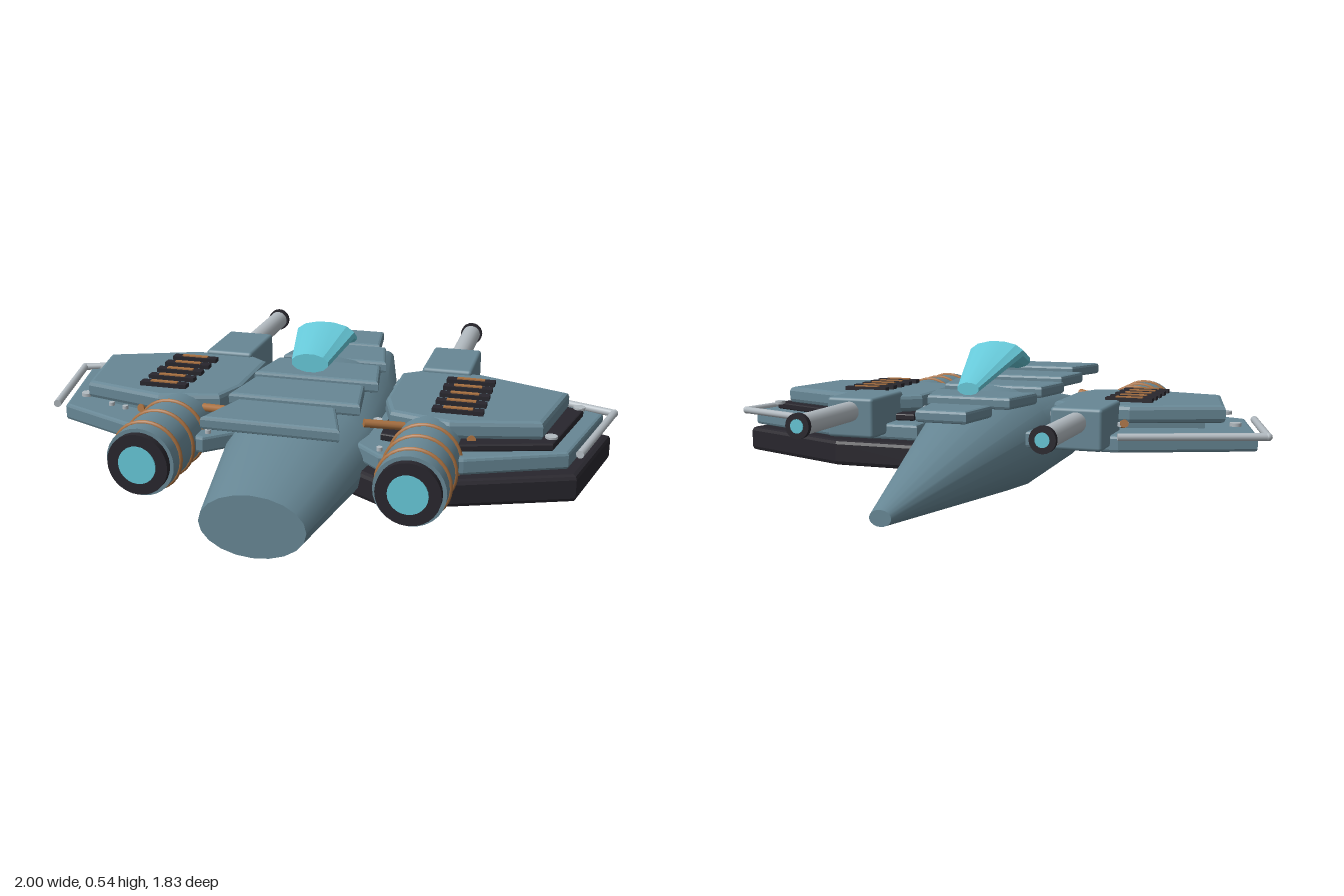
import * as THREE from 'three';
import { toCreasedNormals } from 'three/addons/utils/BufferGeometryUtils.js';
import { RoundedBoxGeometry } from 'three/addons/geometries/RoundedBoxGeometry.js';

const mat = (name, color) => new THREE.MeshStandardMaterial({ name, color });

// Elliptical loft along z; each ring is [z, centreY, radiusX, radiusY]
function loft(rings, n, phase = 0) {
  const pos = [], idx = [];
  for (const [z, cy, rx, ry] of rings)
    for (let j = 0; j < n; j++) {
      const a = phase + (j / n) * Math.PI * 2;
      pos.push(Math.cos(a) * rx, cy + Math.sin(a) * ry, z);
    }
  for (let i = 0; i < rings.length - 1; i++)
    for (let j = 0; j < n; j++) {
      const k = (j + 1) % n, a = i * n + j, b = i * n + k;
      idx.push(a, b, a + n, b, b + n, a + n);
    }
  const last = (rings.length - 1) * n;
  for (let j = 1; j < n - 1; j++) {
    idx.push(0, j + 1, j);
    idx.push(last, last + j, last + j + 1);
  }
  const g = new THREE.BufferGeometry();
  g.setAttribute('position', new THREE.Float32BufferAttribute(pos, 3));
  g.setIndex(idx);
  return g;
}

// Horizontal bevelled plate from an [x, z] outline between heights y0 and y1
function slab(outline, y0, y1, bevel = 0.01) {
  const shape = new THREE.Shape(outline.map(([x, z]) => new THREE.Vector2(x, -z)));
  const g = new THREE.ExtrudeGeometry(shape, {
    depth: y1 - y0 - 2 * bevel, bevelEnabled: true, bevelThickness: bevel,
    bevelSize: bevel, bevelOffset: -bevel, bevelSegments: 2,
  });
  g.rotateX(-Math.PI / 2);
  g.translate(0, y0 + bevel, 0);
  return g;
}

// Rod between two points
function rod(a, b, r, sides = 12) {
  const path = new THREE.LineCurve3(new THREE.Vector3(...a), new THREE.Vector3(...b));
  const len = path.getLength();
  const g = new THREE.CylinderGeometry(r, r, len, sides);
  const dir = path.v2.clone().sub(path.v1).normalize();
  g.applyQuaternion(new THREE.Quaternion().setFromUnitVectors(new THREE.Vector3(0, 1, 0), dir));
  const m = path.getPoint(0.5);
  return g.translate(m.x, m.y, m.z);
}

export function createModel() {
  const hull = mat('hull blue', 0x678795);
  const dark = mat('dark metal', 0x28262d);
  const cyan = mat('cyan glow', 0x66c8d8);
  const grey = mat('light metal', 0xb2bac0);
  const copper = mat('copper', 0xa87040);

  const ship = new THREE.Group();
  ship.name = 'ship';
  const add = (parent, name, geo, material) => {
    const m = new THREE.Mesh(geo, material);
    m.name = name;
    parent.add(m);
    return m;
  };

  // Fuselage
  add(ship, 'fuselage', toCreasedNormals(loft([
    [-0.92, 0.105, 0.035, 0.025],
    [0, 0.197, 0.25, 0.193],
    [0.38, 0.187, 0.258, 0.158],
    [0.91, 0.157, 0.165, 0.1],
  ], 20), 0.5), hull);

  // Canopy
  const canopy = loft([
    [-0.21, 0.4, 0.04, 0.022],
    [0.085, 0.502, 0.104, 0.042],
    [0.29, 0.458, 0.064, 0.032],
  ], 12, Math.PI / 12);
  add(ship, 'canopy', toCreasedNormals(canopy, 0.3), cyan);

  // Dorsal armour: [z front, z back, half width front, half width back, top]
  for (const [z0, z1, w0, w1, top] of [
    [-0.46, -0.28, 0.088, 0.112, 0.357],
    [-0.21, -0.03, 0.15, 0.19, 0.375],
    [0.04, 0.22, 0.185, 0.217, 0.388],
    [0.29, 0.48, 0.187, 0.217, 0.4],
    [0.55, 0.735, 0.157, 0.217, 0.413],
  ])
    add(ship, 'dorsalPlate', slab([[-w0, z0], [w0, z0], [w1, z1], [-w1, z1]], top - 0.042, top), hull);

  for (const s of [-1, 1]) {
    const side = new THREE.Group();
    side.name = s > 0 ? 'leftSide' : 'rightSide';
    ship.add(side);
    const flip = (pts) => pts.map(([x, z]) => [s * x, z]);
    const P = (x, y, z) => [s * x, y, z];

    // Layered wing
    add(side, 'lowerWing', slab(flip([[0.2, -0.19], [0.52, -0.19], [0.95, -0.01], [0.86, 0.37],
      [0.55, 0.5], [0.29, 0.54], [0.2, 0.46]]), 0.205, 0.262), hull);
    add(side, 'upperWing', slab(flip([[0.25, -0.02], [0.32, -0.07], [0.53, -0.07], [0.835, 0.045],
      [0.775, 0.355], [0.49, 0.42], [0.29, 0.37], [0.25, 0.25]]), 0.287, 0.348, 0.015), hull);
    if (s > 0) {
      // Extra dark armour fitted to the left wing only
      add(side, 'wingUnderSlab', slab([[0.15, -0.19], [0.52, -0.19], [0.98, 0], [0.89, 0.38],
        [0.52, 0.52], [0.3, 0.57], [0.15, 0.48]], 0.1, 0.192, 0.015), dark);
      add(side, 'wingGasket', slab([[0.25, -0.1], [0.5, -0.12], [0.885, 0.04], [0.81, 0.37],
        [0.5, 0.46], [0.27, 0.42]], 0.262, 0.287, 0.005), dark);
    } else {
      add(side, 'wingSpacer', slab(flip([[0.25, 0], [0.5, 0], [0.76, 0.08], [0.7, 0.32],
        [0.48, 0.38], [0.27, 0.34]]), 0.255, 0.292, 0.005), hull);
    }

    // Wing edge rail
    add(side, 'edgeRail', rod(P(0.52, 0.26, -0.2), P(0.985, 0.26, -0.028), 0.013), grey);
    add(side, 'edgeRail', rod(P(0.985, 0.26, -0.028), P(0.893, 0.26, 0.37), 0.013), grey);
    add(side, 'railCorner', new THREE.SphereGeometry(0.014, 12, 8), grey).position.set(...P(0.985, 0.26, -0.028));

    // Vents with copper cores
    for (let i = 0; i < 5; i++) {
      const z = 0.042 + i * 0.0725;
      add(side, 'vent', new THREE.BoxGeometry(0.165, 0.024, 0.032), dark).position.set(...P(0.503, 0.35, z));
      add(side, 'ventCore', new THREE.BoxGeometry(0.095, 0.006, 0.016), copper).position.set(...P(0.503, 0.363, z));
    }

    // Bolts
    for (const [x, y, z, r] of [[0.87, 0.288, 0.03, 0.02], [0.8, 0.288, 0.32, 0.02], [0.515, 0.288, -0.1, 0.02],
      [0.245, 0.3, -0.005, 0.015], [0.245, 0.3, 0.345, 0.015], [0.285, 0.268, 0.5, 0.01],
      [0.7, 0.268, 0.34, 0.01], [0.64, 0.268, 0.36, 0.01]])
      add(side, 'bolt', new THREE.CylinderGeometry(r, r, 0.012, 12), grey).position.set(...P(x, y, z));

    // Copper pipes
    for (const [a, b] of [
      [P(0.34, 0.305, 0.385), P(0.22, 0.325, 0.44)],
      [P(0.545, 0.28, 0.35), P(0.56, 0.29, 0.41)],
      [P(0.5, 0.28, -0.04), P(0.525, 0.295, -0.125)],
    ]) add(side, 'pipe', rod(a, b, 0.014), copper);

    // Engine
    const engine = new THREE.Group();
    engine.name = 'engine';
    engine.position.set(...P(0.425, 0.237, 0));
    side.add(engine);
    add(engine, 'engineBody', rod([0, 0, 0.33], [0, 0, 0.725], 0.112, 28), hull);
    add(engine, 'nozzle', rod([0, 0, 0.72], [0, 0, 0.748], 0.1, 28), dark);
    add(engine, 'exhaustGlow', rod([0, 0, 0.745], [0, 0, 0.752], 0.062, 24), cyan);
    for (const z of [0.47, 0.567, 0.67])
      add(engine, 'engineBand', new THREE.TorusGeometry(0.112, 0.008, 8, 32), copper).position.z = z;

    // Cannon
    const cannon = new THREE.Group();
    cannon.name = 'cannon';
    cannon.position.set(...P(0.405, 0.315, 0));
    side.add(cannon);
    add(cannon, 'cannonHousing', new RoundedBoxGeometry(0.175, 0.14, 0.26, 2, 0.012), hull)
      .position.set(0, -0.022, -0.17);
    add(cannon, 'barrel', rod([0, 0, -0.29], [0, 0, -0.655], 0.035, 20), grey);
    add(cannon, 'muzzle', rod([0, 0, -0.65], [0, 0, -0.668], 0.042, 20), dark);
    add(cannon, 'muzzleGlow', rod([0, 0, -0.664], [0, 0, -0.671], 0.023, 16), cyan);
  }
  return ship;
}
